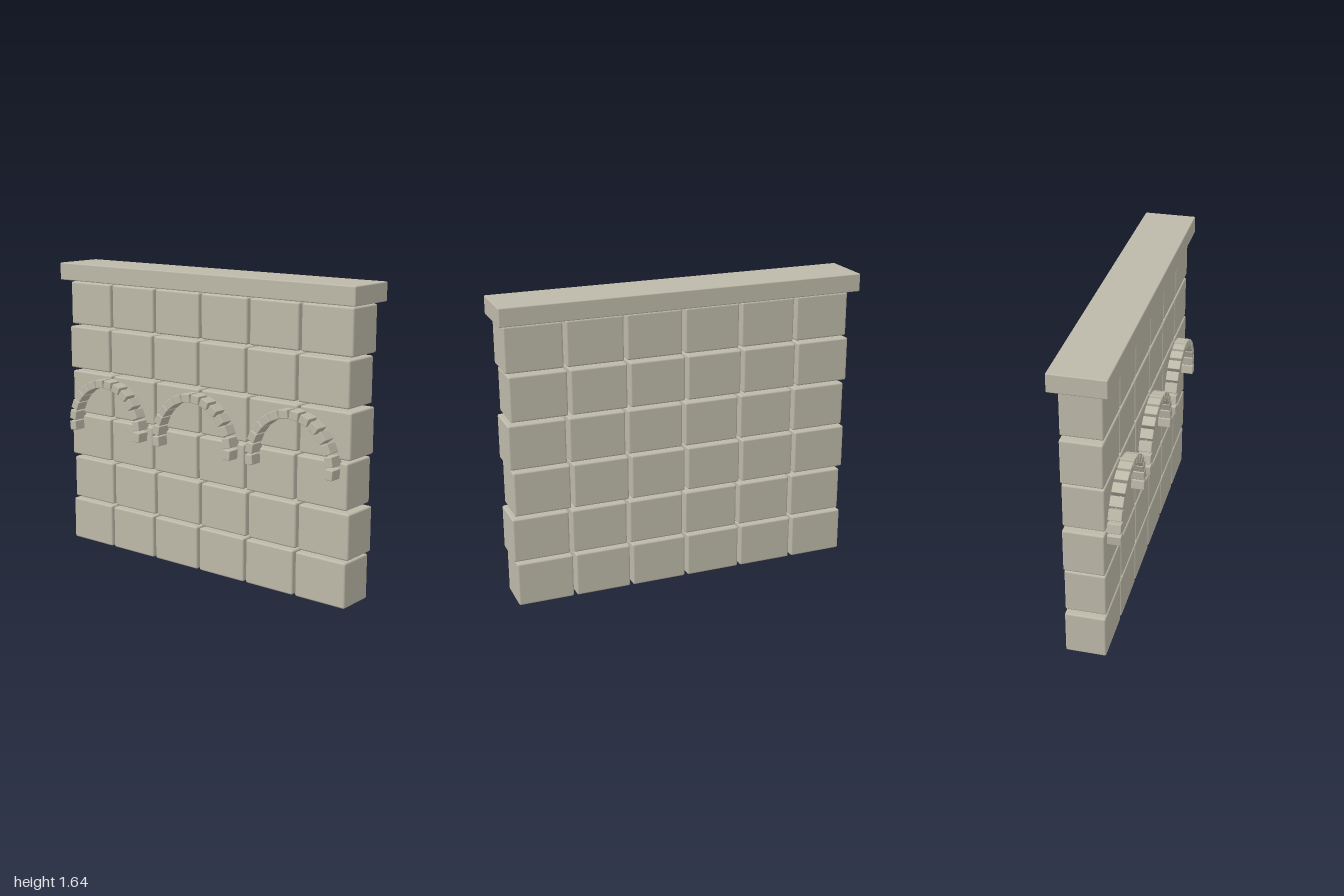
import * as THREE from 'three';
import { RoundedBoxGeometry } from 'three/addons/geometries/RoundedBoxGeometry.js';

export function createModel() {
  const model = new THREE.Group();
  model.name = 'stoneWall';
  const stone = new THREE.MeshStandardMaterial({ color: 0xbdb9a9 });

  const add = (parent, name, geometry, x, y, z) => {
    const mesh = new THREE.Mesh(geometry, stone);
    mesh.name = name;
    mesh.position.set(x, y, z);
    parent.add(mesh);
    return mesh;
  };

  // Wall: six courses of six blocks, alternate courses shifted sideways
  const blockW = 0.306, blockH = 0.243, blockD = 0.215;
  const pitchX = 0.323, pitchY = 0.2585;
  const blockGeo = new RoundedBoxGeometry(blockW, blockH, blockD, 2, 0.01);
  for (let row = 0; row < 6; row++) {
    const course = new THREE.Group();
    course.name = `course${row + 1}`;
    model.add(course);
    const shift = row % 2 ? 0.005 : -0.0105;
    for (let col = 0; col < 6; col++) {
      add(course, 'block', blockGeo,
        (col - 2.5) * pitchX + shift + 0.006, blockH / 2 + row * pitchY + 0.001, -0.0145);
    }
  }

  // Coping slab along the top
  add(model, 'coping', new RoundedBoxGeometry(2, 0.098, 0.292, 2, 0.006), 0, 1.595, -0.017);

  // Three decorative arches of small stones on the front
  const stoneGeo = new RoundedBoxGeometry(0.046, 0.054, 0.085, 2, 0.004);
  const count = 14, radius = 0.249, dip = 0.09;
  for (const cx of [-0.644, -0.002, 0.642]) {
    const arch = new THREE.Group();
    arch.name = 'arch';
    arch.position.set(cx, 0.73, 0.1205);
    model.add(arch);
    for (let i = 0; i < count; i++) {
      const a = -dip + (i / (count - 1)) * (Math.PI + 2 * dip);
      add(arch, 'archStone', stoneGeo, Math.cos(a) * radius, Math.sin(a) * radius, 0).rotation.z = a;
    }
  }

  return model;
}
